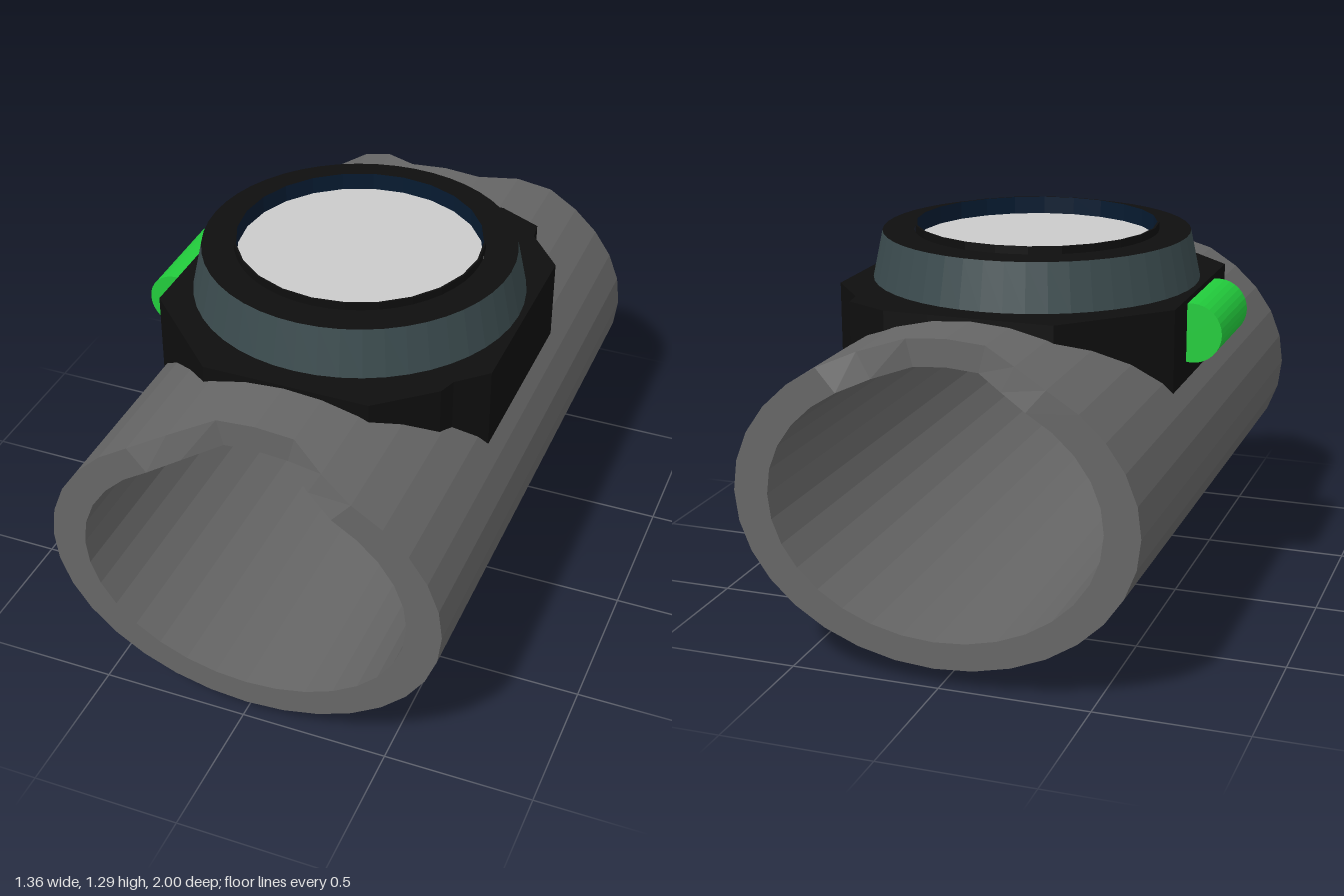
import * as THREE from 'three';

const CX = 0.015, CY = 0.58; // centre of the oval sleeve

const mat = (name, color) => {
  const m = new THREE.MeshStandardMaterial({ color, flatShading: true });
  m.name = name;
  return m;
};

// Skin a list of equal-sized rings of [x, y, z] points
function loft(rings, closed) {
  const pos = [];
  const tri = (a, b, c) => pos.push(...a, ...b, ...c);
  const n = rings.length, k = rings[0].length;
  for (let i = 0; i < (closed ? n : n - 1); i++) {
    const r = rings[i], s = rings[(i + 1) % n];
    for (let j = 0; j < k; j++) {
      const q = (j + 1) % k;
      tri(r[j], s[j], s[q]);
      tri(r[j], s[q], r[q]);
    }
  }
  if (!closed) {
    const a = rings[0], b = rings[n - 1];
    for (let j = 1; j < k - 1; j++) {
      tri(a[0], a[j], a[j + 1]);
      tri(b[0], b[j + 1], b[j]);
    }
  }
  const g = new THREE.BufferGeometry();
  g.setAttribute('position', new THREE.Float32BufferAttribute(pos, 3));
  g.computeVertexNormals();
  return g;
}

// Piecewise linear lookup in [x, value] pairs
function lookup(table, x) {
  for (let i = 1; i < table.length; i++) {
    const [x0, v0] = table[i - 1], [x1, v1] = table[i];
    if (x <= x1) return v0 + (v1 - v0) * (x - x0) / (x1 - x0);
  }
  return table[table.length - 1][1];
}

const lathe = (pts, sides) =>
  new THREE.LatheGeometry(pts.map(([r, y]) => new THREE.Vector2(r, y)), sides);

export function createModel() {
  const group = new THREE.Group();
  const grey = mat('sleeve grey', 0x666666);
  const black = mat('housing black', 0x0e0e0e);
  const slate = mat('bezel slate', 0x3a4a4d);
  const navy = mat('rim navy', 0x061a30);
  const pale = mat('face pale grey', 0xcacaca);
  const green = mat('crown green', 0x22cc3c);

  const add = (name, geometry, material, x = 0, y = 0, z = 0) => {
    const m = new THREE.Mesh(geometry, material);
    m.name = name;
    m.position.set(x, y, z);
    group.add(m);
    return m;
  };

  // Oval sleeve with a notch at the top of both ends
  const SIDES = 32, notch = [0.86, 0.86, 0.95, 1];
  const rings = [];
  for (let i = 0; i < SIDES; i++) {
    const a = i / SIDES * Math.PI * 2;
    const c = Math.cos(a), s = Math.sin(a);
    const z = notch[Math.min(Math.abs(i - SIDES / 4), 3)];
    const outer = [CX + 0.665 * c, CY + 0.515 * s];
    const inner = [CX + 0.55 * c, CY + 0.425 * s];
    rings.push([[...outer, -z], [...outer, z], [...inner, z], [...inner, -z]]);
  }
  add('sleeve', loft(rings, true), grey);

  // Eight-sided housing, its underside following the sleeve wall
  const front = [[-0.565, 0.34], [-0.26, 0.645], [0.3, 0.645], [0.48, 0.49], [0.5, 0.43], [0.595, 0.34]];
  const back = [[-0.565, 0.34], [-0.26, 0.645], [0.31, 0.645], [0.46, 0.57], [0.47, 0.5], [0.595, 0.345]];
  const sliver = [[-0.51, 0.69], [-0.42, 0.83], [-0.27, 0.93]];
  const xs = [-0.565, -0.51, -0.42, -0.27, -0.26, -0.13, CX, 0.16, 0.3, 0.31, 0.4, 0.46, 0.47, 0.48, 0.5, 0.55, 0.595];
  const sections = xs.map((x) => {
    const wall = CY + 0.47 * Math.sqrt(1 - ((x - CX) / 0.61) ** 2);
    const low = x >= -0.51 && x <= -0.27 ? lookup(sliver, x) : wall;
    const zf = lookup(front, x), zb = -lookup(back, x);
    return [[x, 1.105, zf], [x, 1.105, zb], [x, low, zb], [x, low, zf]];
  });
  add('housing', loft(sections, false), black);

  // Plate inside the sleeve and clasp below it
  add('innerPlate', new THREE.BoxGeometry(0.43, 0.1, 0.4), black, CX, 0.98, 0);
  add('clasp', new THREE.BoxGeometry(0.4, 0.1, 0.4), black, 0.03, 0.05, 0);

  // Round bezel, raised rim and recessed face
  add('bezel', lathe([[0.56, 1.1], [0.525, 1.265]], 48), slate, CX);
  add('bezelTop', lathe([[0.525, 1.265], [0.417, 1.265]], 48), black, CX);
  add('rim', lathe([[0.417, 1.255], [0.417, 1.29], [0.41, 1.29]], 24), black, CX);
  add('rimInside', lathe([[0.41, 1.29], [0.41, 1.225]], 24), navy, CX);
  const face = add('face', new THREE.CircleGeometry(0.412, 24), pale, CX, 1.23, 0);
  face.rotation.x = -Math.PI / 2;

  // Side crown
  const crown = add('crown', new THREE.CylinderGeometry(0.1, 0.1, 0.365, 32), green, -0.583, 0.99, 0);
  crown.rotation.x = Math.PI / 2;

  return group;
}
